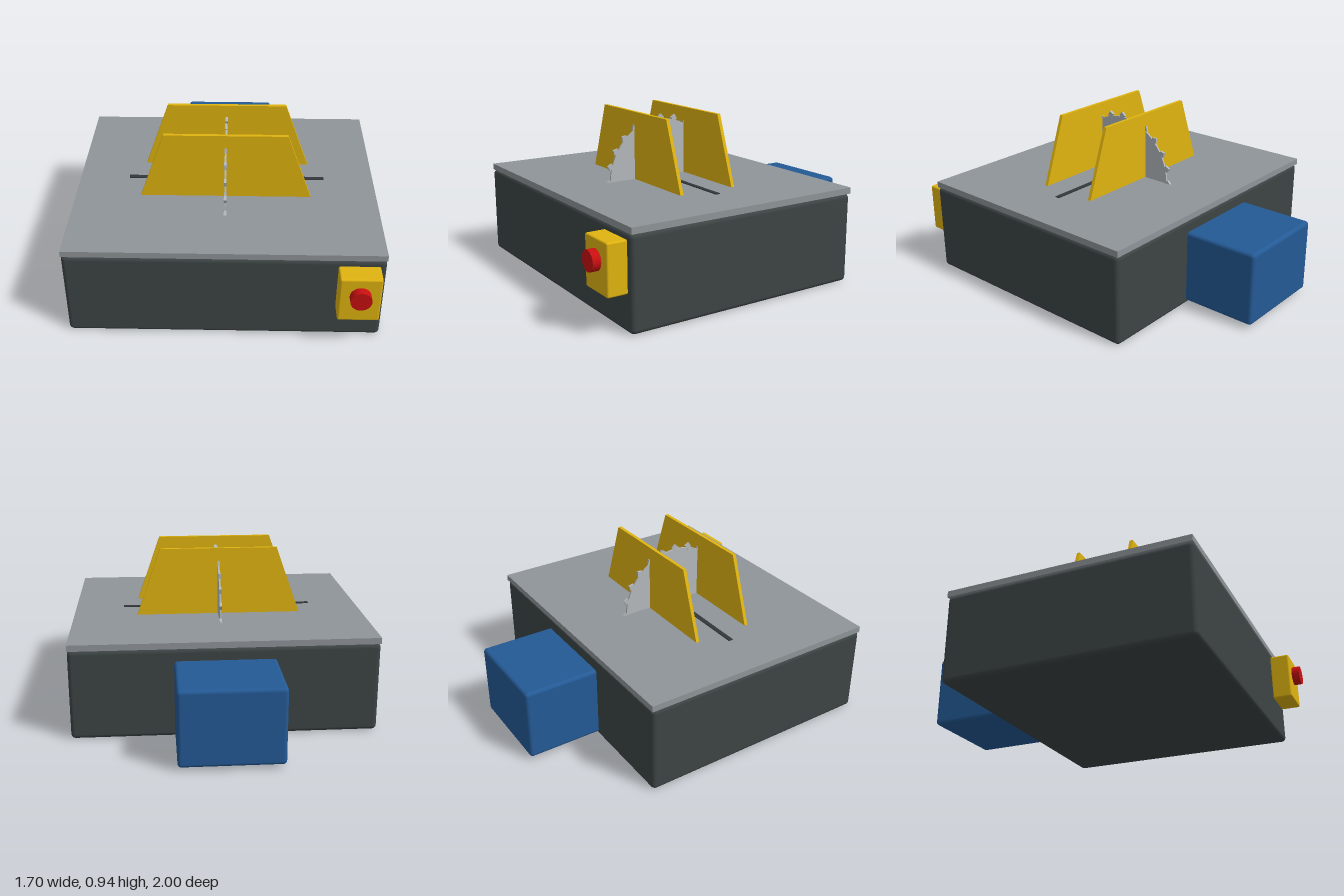
import * as THREE from 'three';
import { RoundedBoxGeometry } from 'three/addons/geometries/RoundedBoxGeometry.js';

const mat = (name, color) => new THREE.MeshStandardMaterial({ name, color });

export function createModel() {
  const charcoal = mat('charcoal', 0x3d4444);
  const tableGrey = mat('table grey', 0x8f9599);
  const steel = mat('blade steel', 0xb4b9bd);
  const yellow = mat('safety yellow', 0xe0b410);
  const blue = mat('motor blue', 0x245a96);
  const red = mat('button red', 0xc81010);
  const slotDark = mat('slot dark', 0x33383a);

  const model = new THREE.Group();
  model.name = 'tableSaw';

  const add = (name, geometry, material, x, y, z, parent = model) => {
    const mesh = new THREE.Mesh(geometry, material);
    mesh.name = name;
    mesh.position.set(x, y, z);
    parent.add(mesh);
    return mesh;
  };

  // Cabinet, table top and cross slot
  add('cabinet', new RoundedBoxGeometry(1.7, 0.51, 1.415, 4, 0.025), charcoal, 0, 0.255, 0.135);
  add('tableTop', new THREE.BoxGeometry(1.7, 0.035, 1.415), tableGrey, 0, 0.5275, 0.132);
  add('crossSlot', new THREE.BoxGeometry(1.13, 0.009, 0.026), slotDark, 0, 0.5455, 0.13);

  // Circular blade with square teeth standing on their corners
  const blade = new THREE.Group();
  blade.name = 'blade';
  blade.position.set(0, 0.542, 0.135);
  model.add(blade);
  const disc = add('bladeDisc', new THREE.CylinderGeometry(0.34, 0.34, 0.01, 64), steel, 0, 0, 0, blade);
  disc.rotation.z = Math.PI / 2;
  const toothGeometry = new THREE.BoxGeometry(0.014, 0.03, 0.03);
  const teeth = 24;
  for (let i = 0; i < teeth; i++) {
    const a = (i / teeth) * Math.PI * 2;
    const tooth = add('tooth', toothGeometry, steel, 0, Math.cos(a) * 0.349, Math.sin(a) * 0.349, blade);
    tooth.rotation.x = a + Math.PI / 4;
  }

  // Pair of trapezoid guards
  const outline = new THREE.Shape([
    new THREE.Vector2(-0.48, 0.543),
    new THREE.Vector2(0.48, 0.543),
    new THREE.Vector2(0.34, 0.938),
    new THREE.Vector2(-0.34, 0.938),
  ]);
  const guardGeometry = new THREE.ExtrudeGeometry(outline, { depth: 0.02, bevelEnabled: false });
  guardGeometry.translate(0, 0, -0.01);
  add('frontGuard', guardGeometry, yellow, 0, 0, 0.305);
  add('backGuard', guardGeometry, yellow, 0, 0, -0.035);

  // Motor housing at the back
  add('motor', new RoundedBoxGeometry(0.56, 0.42, 0.46, 4, 0.02), blue, 0, 0.23, -0.77);

  // Switch box with stop button
  add('switchBox', new RoundedBoxGeometry(0.22, 0.275, 0.115, 3, 0.01), yellow, 0.707, 0.342, 0.8975);
  const button = add('stopButton', new THREE.CylinderGeometry(0.056, 0.056, 0.05, 32), red, 0.707, 0.372, 0.975);
  button.rotation.x = Math.PI / 2;

  return model;
}
